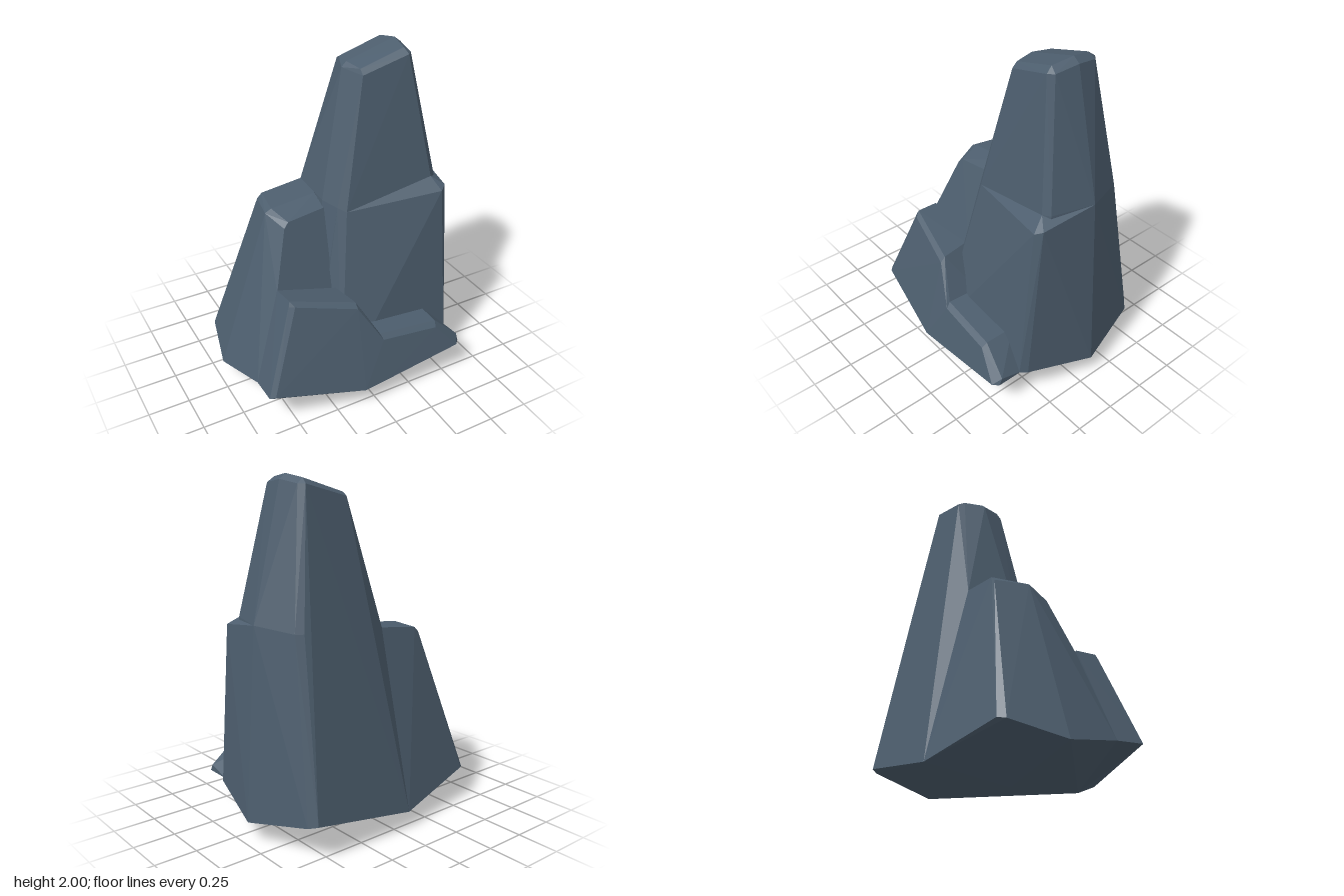
import * as THREE from 'three';
import { ConvexGeometry } from 'three/addons/geometries/ConvexGeometry.js';

export function createModel() {
  const group = new THREE.Group();
  group.name = 'rockFormation';
  const stone = new THREE.MeshStandardMaterial({ color: 0x4d5e6e });
  stone.name = 'slateStone';

  // Each chunk of rock is the convex hull of its chiselled corners.
  function chunk(name, corners) {
    const points = corners.map((c) => new THREE.Vector3(...c));
    const mesh = new THREE.Mesh(new ConvexGeometry(points), stone);
    mesh.name = name;
    group.add(mesh);
  }

  // Lowest points of the shallow keel shared by the body chunks
  const keel = [[-0.2, 0, -0.1], [-0.15, 0.04, 0.37]];

  // Tall leaning spire
  chunk('spire', [
    // sloping cap
    [0.13, 1.91, -0.1], [0.15, 1.9, 0.02], [0.42, 1.98, 0.03],
    [0.44, 2, -0.1], [0.42, 1.98, -0.22], [0.15, 1.9, -0.22],
    // bevel under the cap
    [0.1, 1.88, -0.1], [0.15, 1.87, 0.05], [0.43, 1.95, 0.07], [0.46, 1.95, 0.04],
    [0.48, 1.97, -0.1], [0.46, 1.95, -0.23], [0.43, 1.95, -0.26], [0.16, 1.88, -0.26],
    // waist
    [-0.07, 1.14, -0.3], [-0.08, 1.14, 0], [-0.04, 1.13, 0.11], [0, 1.11, 0.15],
    [0.55, 1.22, 0.18], [0.59, 1.22, 0.15], [0.66, 1.22, -0.1],
    [0.57, 1.2, -0.34], [0.53, 1.2, -0.37],
    // foot
    [-0.08, 0.1, -0.54], [0.58, 0.21, -0.54], [0.62, 0.2, -0.5], [0.73, 0.12, -0.1],
    [0.62, 0.2, 0.3], [-0.19, 0.12, 0.22], ...keel.slice(0, 1),
  ]);

  // Ledge block wrapped around the front of the spire
  chunk('ledgeBlock', [
    [0, 1.11, 0.15], [0.55, 1.22, 0.18], [0.58, 1.15, 0.26], [0.62, 1.17, 0.23],
    [0.66, 1.22, -0.1], [-0.04, 1.13, 0.11], [-0.08, 0.62, 0.19], [-0.13, 0.63, 0.15],
    [0.6, 0.2, 0.36], [0.63, 0.2, 0.32], [0.73, 0.12, -0.1],
    [-0.16, 0.12, 0.23], ...keel,
  ]);

  // Lower shoulder on the side
  chunk('shoulder', [
    [-0.33, 1.11, -0.3], [-0.36, 1.11, -0.1], [-0.32, 1.08, 0.04], [-0.08, 1.1, 0.02],
    [-0.08, 1.14, -0.1], [-0.02, 1.15, -0.3],
    [-0.36, 1.08, -0.3], [-0.4, 1.09, -0.1], [-0.35, 1.05, 0.05],
    [-0.46, 0.71, 0.16], [-0.1, 0.63, 0.18],
    [-0.08, 0.1, -0.54], [-0.62, 0.2, -0.44], [-0.66, 0.19, -0.41],
    [-0.73, 0.12, -0.1], [-0.65, 0.19, 0.25], ...keel,
  ]);

  // Stepped slab leaning on the front: high step, then low step
  const joint = [
    [0.07, 0.39, 0.48], [0.06, 0.42, 0.45], [0.07, 0.42, 0.25],
    [0.07, 0.13, 0.54], [0.07, 0.1, 0.25],
  ];
  chunk('slabHighStep', [
    ...joint,
    [-0.65, 0.2, 0.42], [-0.62, 0.21, 0.44], [-0.08, 0.11, 0.54], [-0.65, 0.19, 0.25],
    [-0.43, 0.71, 0.33], [-0.46, 0.71, 0.31], [-0.45, 0.74, 0.3], [-0.46, 0.73, 0.16],
    [-0.07, 0.62, 0.41], [-0.07, 0.65, 0.38], [-0.1, 0.65, 0.2], keel[1],
  ]);
  chunk('slabLowStep', [
    ...joint,
    [0.43, 0.36, 0.5], [0.44, 0.39, 0.47], [0.44, 0.39, 0.28],
    [0.57, 0.2, 0.54], [0.6, 0.2, 0.51], [0.6, 0.24, 0.49], [0.6, 0.2, 0.34],
  ]);

  return group;
}
